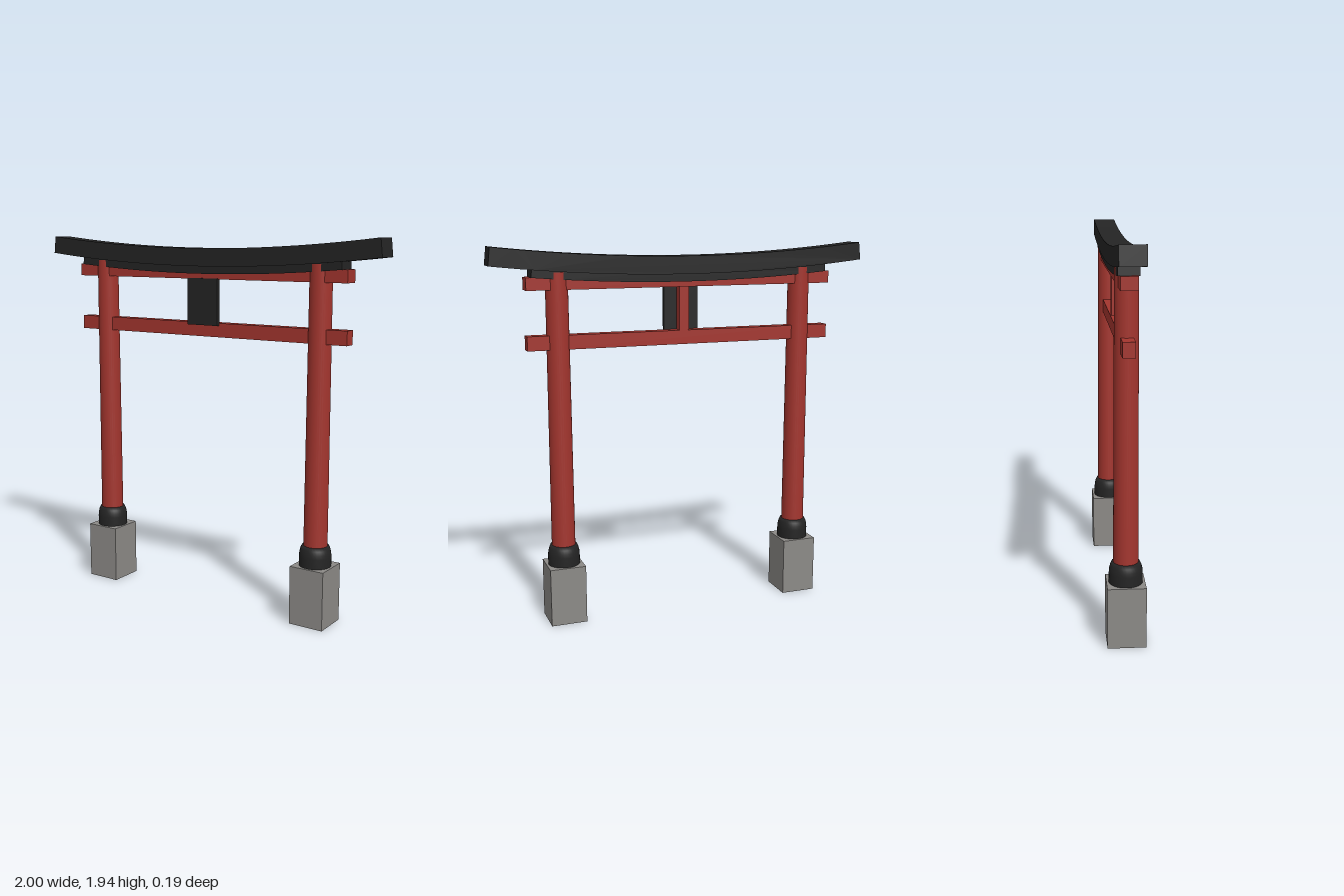
import * as THREE from 'three';

const red = new THREE.MeshStandardMaterial({ name: 'vermilionPaint', color: 0xa3352e });
const black = new THREE.MeshStandardMaterial({ name: 'blackPaint', color: 0x242424 });
const stone = new THREE.MeshStandardMaterial({ name: 'greyStone', color: 0x8c8a87 });

function add(parent, name, geometry, material, x = 0, y = 0, z = 0) {
  const mesh = new THREE.Mesh(geometry, material);
  mesh.name = name;
  mesh.position.set(x, y, z);
  parent.add(mesh);
  return mesh;
}

// Upward-curving beam: a parabola thickened along its normal, with square-cut ends
function curvedBeam(halfLength, base, thickness, depth) {
  const rise = 0.057, steps = 36, lower = [], upper = [];
  for (let i = 0; i <= steps; i++) {
    const x = halfLength * (2 * i / steps - 1);
    const y = base + rise * x * x;
    const normal = new THREE.Vector2(-2 * rise * x, 1).normalize();
    lower.push(new THREE.Vector2(x, y));
    upper.push(new THREE.Vector2(x + normal.x * thickness, y + normal.y * thickness));
  }
  const shape = new THREE.Shape([...lower, ...upper.reverse()]);
  const geometry = new THREE.ExtrudeGeometry(shape, { depth, bevelEnabled: false });
  return geometry.translate(0, 0, -depth / 2);
}

export function createModel() {
  const gate = new THREE.Group();
  gate.name = 'gate';

  // Pillars on stone blocks, with rounded black collars
  const collarProfile = [
    [0.082, 0.3], [0.082, 0.355], [0.08, 0.375], [0.075, 0.395], [0.068, 0.41], [0, 0.41],
  ].map(([r, y]) => new THREE.Vector2(r, y));
  for (const [side, label] of [[1, 'left'], [-1, 'right']]) {
    const post = new THREE.Group();
    post.name = label + 'Post';
    post.position.x = side * 0.66;
    add(post, 'stoneBase', new THREE.BoxGeometry(0.187, 0.305, 0.187), stone, 0, 0.1525);
    add(post, 'collar', new THREE.LatheGeometry(collarProfile, 32), black);
    add(post, 'pillar', new THREE.CylinderGeometry(0.056, 0.061, 1.45, 32), red, 0, 1.085);
    gate.add(post);
  }

  // Straight cross beams
  add(gate, 'lowerTieBeam', new THREE.BoxGeometry(1.64, 0.072, 0.06), red, 0, 1.464);
  add(gate, 'upperTieBeam', new THREE.BoxGeometry(1.64, 0.063, 0.08), red, 0, 1.755);

  // Centre strut with the plain tablet on its front
  add(gate, 'centreStrut', new THREE.BoxGeometry(0.05, 0.25, 0.05), red, 0, 1.615);
  add(gate, 'tablet', new THREE.BoxGeometry(0.186, 0.24, 0.02), black, 0, 1.607, 0.036);

  // Curved lintel and the longer top beam above it
  add(gate, 'lintel', curvedBeam(0.795, 1.75, 0.05, 0.1), black);
  add(gate, 'topBeam', curvedBeam(1, 1.788, 0.091, 0.12), black);

  return gate;
}
